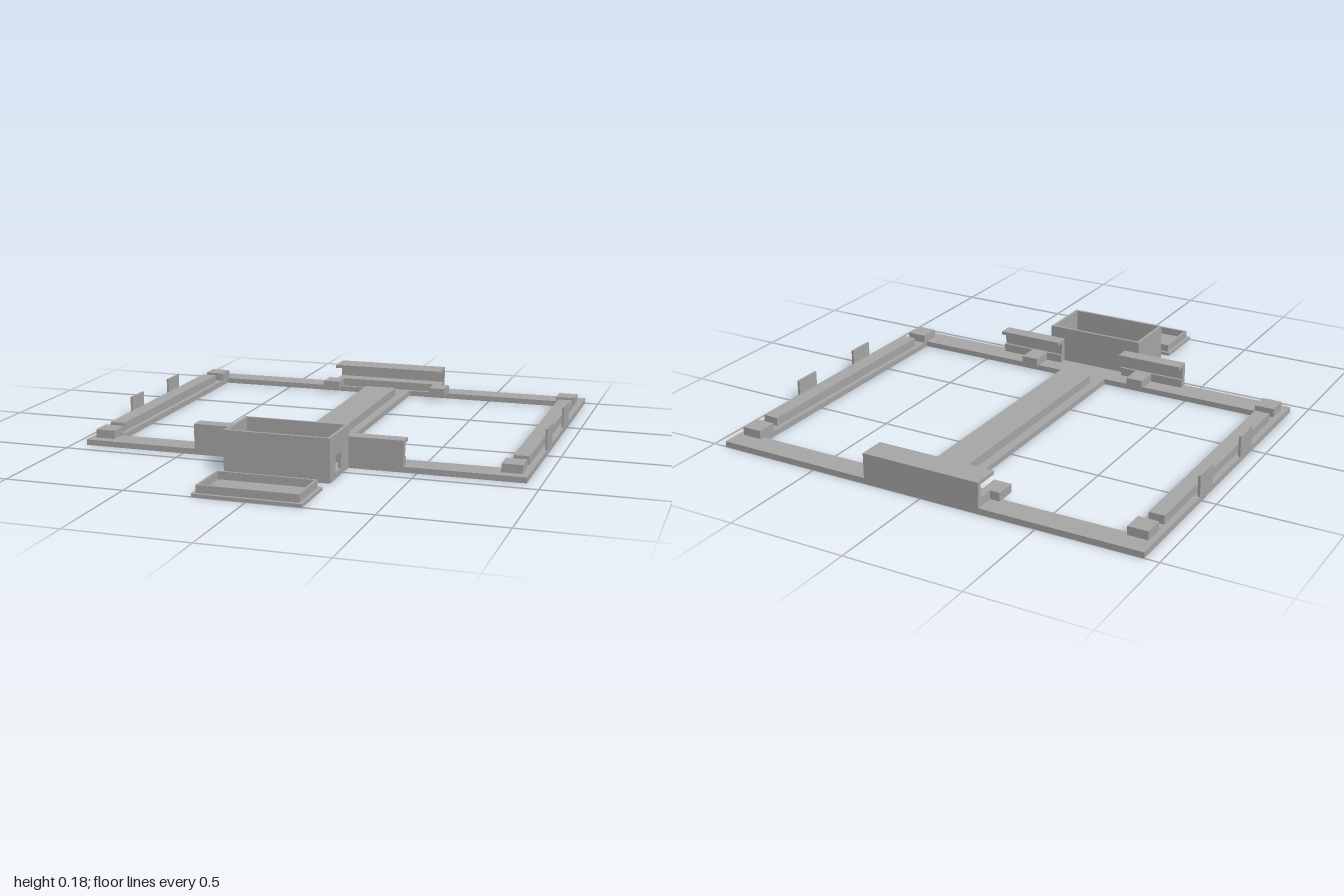
import * as THREE from 'three';

const T = 0.024;   // base plate thickness
const H = 0.06;    // height of pads and rails

export function createModel() {
  const model = new THREE.Group();
  model.name = 'mountingFrame';
  const grey = new THREE.MeshStandardMaterial({ color: 0xa8a8a8 });
  grey.name = 'grey plastic';

  function add(name, geometry, parent = model) {
    const mesh = new THREE.Mesh(geometry, grey);
    mesh.name = name;
    parent.add(mesh);
    return mesh;
  }

  // box given by its limits on each axis
  function block(name, [x0, x1], [y0, y1], [z0, z1], parent) {
    const g = new THREE.BoxGeometry(x1 - x0, y1 - y0, z1 - z0);
    g.translate((x0 + x1) / 2, (y0 + y1) / 2, (z0 + z1) / 2);
    return add(name, g, parent);
  }

  function rect(target, x0, x1, y0, y1) {
    target.moveTo(x0, y0);
    target.lineTo(x1, y0);
    target.lineTo(x1, y1);
    target.lineTo(x0, y1);
    target.closePath();
    return target;
  }

  // flat plate in x and z, with rectangular holes
  function plate(name, outer, holes, y0, y1, parent) {
    const flip = ([x0, x1, z0, z1]) => [x0, x1, -z1, -z0];
    const shape = rect(new THREE.Shape(), ...flip(outer));
    holes.forEach(h => shape.holes.push(rect(new THREE.Path(), ...flip(h))));
    const g = new THREE.ExtrudeGeometry(shape, { depth: y1 - y0, bevelEnabled: false });
    g.rotateX(-Math.PI / 2).translate(0, y0, 0);
    return add(name, g, parent);
  }

  // base frame with two large windows either side of the centre bar
  plate('baseFrame', [-0.94, 0.94, -1, 0.43],
    [[-0.83, -0.11, -0.895, 0.32], [0.11, 0.83, -0.895, 0.32]], 0, T);
  block('centreRail', [-0.072, 0.072], [T, H], [-0.78, 0.25]);

  // mirrored parts on both sides
  for (const s of [-1, 1]) {
    const side = (a, b) => (s > 0 ? [a, b] : [-b, -a]);
    block('sideRail', side(0.85, 0.915), [T, H], [-0.78, 0.25]);
    for (const z of [[-0.915, -0.828], [0.298, 0.388]]) {
      block('cornerPad', side(0.83, 0.915), [T, H], z);
    }
    for (const z of [[-0.52, -0.4], [-0.125, -0.005]]) {
      block('sideTab', side(0.93, 0.94), [T, 0.113], z);
    }
    block('backPad', side(0.225, 0.3), [T, H], [-0.915, -0.828]);
    block('frontPad', side(0.225, 0.3), [T, H], [0.302, 0.396]);

    // front hooks open towards the back
    const hook = new THREE.Group();
    hook.name = 'frontHook';
    model.add(hook);
    block('hookBase', side(0.152, 0.447), [T, H], [0.396, 0.43], hook);
    block('hookWall', side(0.152, 0.447), [H, 0.115], [0.406, 0.43], hook);
    block('hookLip', side(0.152, 0.447), [0.115, 0.13], [0.368, 0.43], hook);
  }

  // back hook opens towards the front
  const back = new THREE.Group();
  back.name = 'backHook';
  model.add(back);
  block('hookBase', [-0.258, 0.258], [T, H], [-1, -0.912], back);
  block('hookWall', [-0.258, 0.258], [H, 0.115], [-1, -0.982], back);
  block('hookLip', [-0.258, 0.258], [0.115, 0.13], [-1, -0.885], back);

  // open box with a cable hole in its left wall
  const box = new THREE.Group();
  box.name = 'openBox';
  model.add(box);
  const w = 0.012, top = 0.18, z0 = 0.43, z1 = 0.67;
  block('boxFloor', [-0.22, 0.22], [0, T], [z0, z1], box);
  block('boxBackWall', [-0.22, 0.22], [T, top], [z0, z0 + w], box);
  block('boxFrontWall', [-0.22, 0.22], [T, top], [z1 - w, z1], box);
  block('boxRightWall', [-0.22, -0.22 + w], [T, top], [z0 + w, z1 - w], box);
  const wall = rect(new THREE.Shape(), -(z1 - w), -(z0 + w), T, top);
  wall.holes.push(rect(new THREE.Path(), -0.602, -0.534, T + 0.002, 0.095));
  const wallGeometry = new THREE.ExtrudeGeometry(wall, { depth: w, bevelEnabled: false });
  wallGeometry.rotateY(Math.PI / 2).translate(0.22 - w, 0, 0);
  add('boxLeftWall', wallGeometry, box);

  // separate lid lying upside down, with its raised rim
  const lid = new THREE.Group();
  lid.name = 'lid';
  model.add(lid);
  block('lidPlate', [-0.22, 0.22], [0, 0.013], [0.763, 1], lid);
  plate('lidRim', [-0.206, 0.206, 0.777, 0.986],
    [[-0.196, 0.196, 0.787, 0.976]], 0.013, 0.045, lid);

  return model;
}
